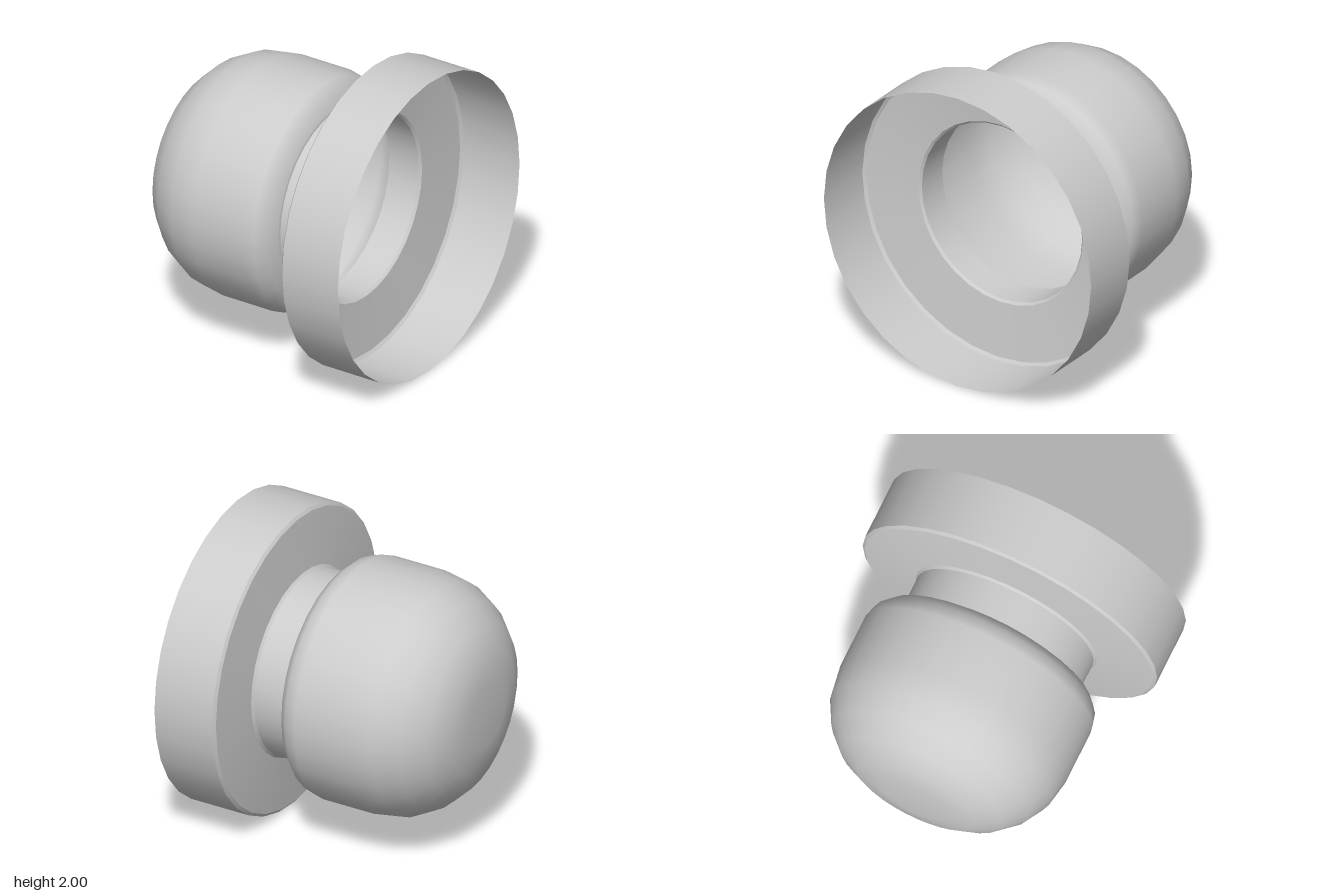
import * as THREE from 'three';

const SIDES = 32;

export function createModel() {
  const model = new THREE.Group();
  model.name = 'flangedCap';
  const grey = new THREE.MeshStandardMaterial({ color: 0xcccccc, side: THREE.DoubleSide });
  grey.name = 'plain grey';

  // Thin shell turned about the x axis; profile points are [x, radius].
  // Separate sections keep the edges between them sharp.
  const turn = (name, profile) => {
    const points = profile.map(([x, r]) => new THREE.Vector2(r, x));
    const geometry = new THREE.LatheGeometry(points, SIDES);
    geometry.rotateZ(-Math.PI / 2);
    geometry.translate(0, 1, 0);
    const mesh = new THREE.Mesh(geometry, grey);
    mesh.name = name;
    model.add(mesh);
  };

  // Closed rounded bulb
  turn('bulb', [
    [-0.89, 0], [-0.89, 0.22], [-0.86, 0.4], [-0.785, 0.55], [-0.665, 0.67],
    [-0.515, 0.75], [-0.34, 0.778], [0.02, 0.778], [0.1, 0.757], [0.16, 0.7], [0.19, 0.615],
  ]);

  // Narrow neck with a step up to the bulb and a small fillet at the flange
  turn('neckStep', [[0.19, 0.615], [0.192, 0.6]]);
  turn('neck', [[0.192, 0.6], [0.41, 0.6]]);
  turn('neckFillet', [[0.41, 0.6], [0.425, 0.615]]);

  // Slightly conical flange
  turn('flange', [[0.425, 0.615], [0.46, 0.98]]);

  // Bevelled edge and open outer rim
  turn('rimBevel', [[0.46, 0.98], [0.475, 1]]);
  turn('rim', [[0.475, 1], [0.886, 1]]);

  return model;
}
